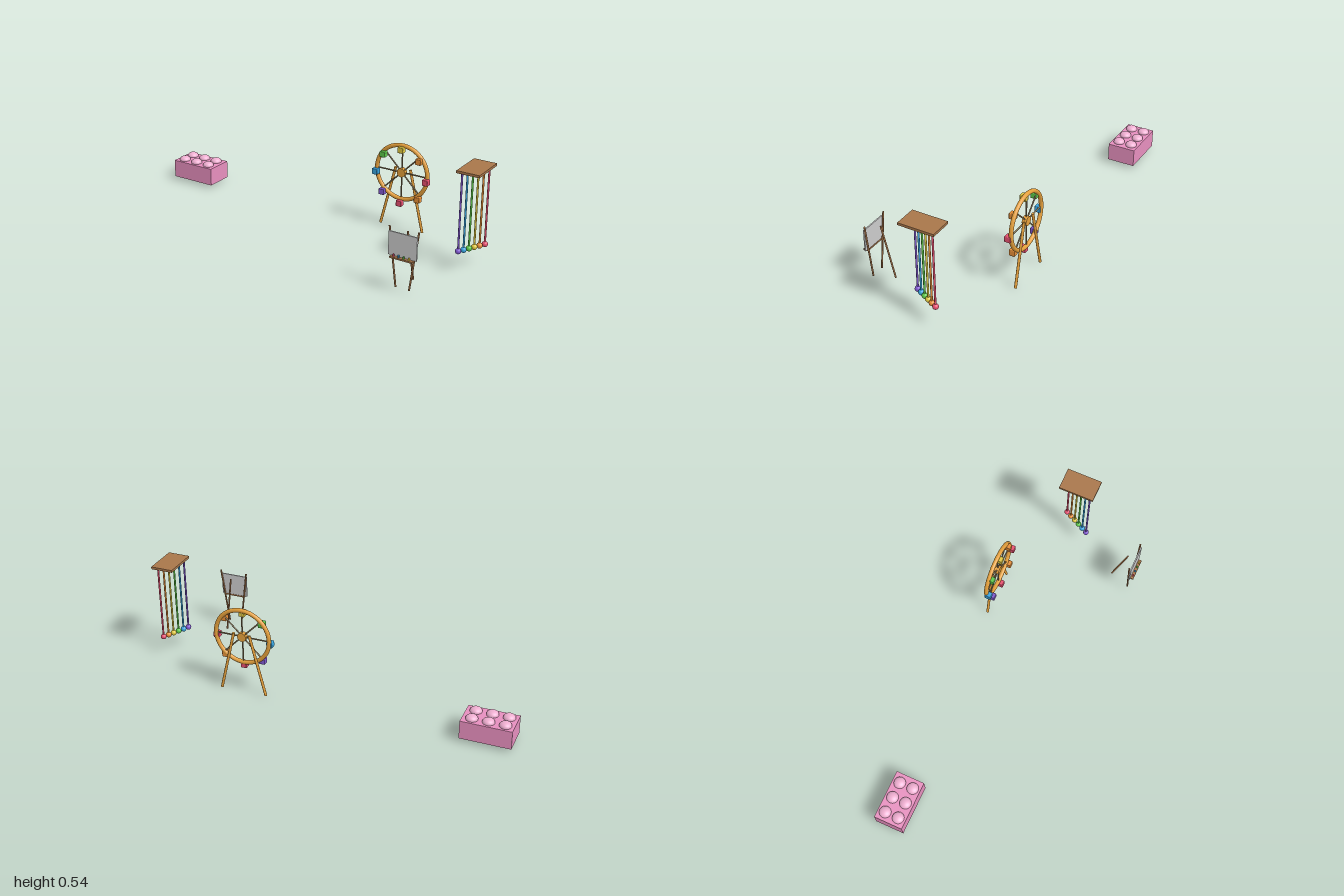
import * as THREE from 'three';
import { RoundedBoxGeometry } from 'three/addons/geometries/RoundedBoxGeometry.js';

const WOOD = 0xa8764a, GOLD = 0xe5a03c;
const PURPLE = 0x8058d0, BLUE = 0x38a4e0, GREEN = 0x5cc848;
const YELLOW = 0xe0c840, ORANGE = 0xe89038, RED = 0xe85070;

function part(parent, name, geometry, color, x = 0, y = 0, z = 0) {
  const mesh = new THREE.Mesh(geometry, new THREE.MeshStandardMaterial({ color }));
  mesh.name = name;
  mesh.position.set(x, y, z);
  parent.add(mesh);
  return mesh;
}

// Round bar between two points
function bar(parent, name, a, b, radius, color) {
  const from = new THREE.Vector3(...a), to = new THREE.Vector3(...b);
  const dir = to.clone().sub(from);
  const mesh = part(parent, name, new THREE.CylinderGeometry(radius, radius, dir.length(), 12), color);
  mesh.position.copy(from).add(to).multiplyScalar(0.5);
  mesh.quaternion.setFromUnitVectors(new THREE.Vector3(0, 1, 0), dir.normalize());
  return mesh;
}

function group(parent, name) {
  const g = new THREE.Group();
  g.name = name;
  parent.add(g);
  return g;
}

function buildBrick(root) {
  const g = group(root, 'toyBrick');
  part(g, 'brickBody', new THREE.BoxGeometry(0.26, 0.098, 0.154), 0xe68fbe, -0.87, 0.067, -0.2705);
  // Domed studs, two rows of three
  for (const x of [-0.955, -0.872, -0.789])
    for (const z of [-0.234, -0.307])
      part(g, 'stud', new THREE.SphereGeometry(0.031, 24, 16), 0xeeaed0, x, 0.119, z).scale.y = 0.66;
}

function buildWheel(root) {
  const g = group(root, 'ferrisWheel');
  const cx = 0.417, cy = 0.316, cz = -0.307, R = 0.147;
  part(g, 'rim', new THREE.TorusGeometry(R, 0.0112, 14, 64), GOLD, cx, cy, cz);
  part(g, 'hub', new THREE.CylinderGeometry(0.024, 0.024, 0.024, 24), GOLD, cx, cy, cz).rotation.x = Math.PI / 2;
  // Spokes with a cabin hung a little below each rim point
  const colors = [RED, ORANGE, YELLOW, GREEN, BLUE, PURPLE, RED, ORANGE];
  colors.forEach((color, i) => {
    const a = i * Math.PI / 4, x = cx + R * Math.cos(a), y = cy + R * Math.sin(a);
    bar(g, 'spoke', [cx, cy, cz], [x, y, cz], 0.0038, 0x8f7c58);
    part(g, 'cabin', new RoundedBoxGeometry(0.032, 0.032, 0.033, 2, 0.004), color, x, y - 0.019, -0.294);
  });
  // Splayed legs behind the wheel
  for (const s of [-1, 1])
    bar(g, 'wheelLeg', [cx + s * 0.124, 0.002, -0.318], [cx + s * 0.043, 0.334, -0.318], 0.0072, GOLD);
}

function buildChimes(root) {
  const g = group(root, 'hangingChimes');
  part(g, 'topBoard', new THREE.BoxGeometry(0.12, 0.013, 0.19), WOOD, 0.94, 0.5305, -0.073);
  // Rods in a diagonal row, each with a ball at the end
  [PURPLE, BLUE, GREEN, YELLOW, ORANGE, RED].forEach((color, i) => {
    const x = 0.901 + i * 0.0145, z = -0.001 - i * 0.0288;
    bar(g, 'rod', [x, 0.117, z], [x, 0.527, z], 0.005, color);
    part(g, 'ball', new THREE.SphereGeometry(0.0152, 24, 16), color, x, 0.117, z);
  });
}

function buildEasel(root) {
  const g = group(root, 'easel');
  const cx = 0.777;
  for (const s of [-1, 1])
    bar(g, 'easelFrontLeg', [cx + s * 0.036, 0.018, 0.3205], [cx + s * 0.077, 0.325, 0.3205], 0.0046, WOOD);
  bar(g, 'easelRearLeg', [cx, 0.022, 0.2135], [cx, 0.298, 0.284], 0.0046, WOOD);
  part(g, 'canvas', new THREE.BoxGeometry(0.15, 0.12, 0.007), 0xcccccc, cx, 0.243, 0.3285);
  part(g, 'tray', new THREE.BoxGeometry(0.12, 0.008, 0.026), WOOD, cx, 0.179, 0.336);
  // Paint pots on the tray
  [RED, BLUE, GREEN, YELLOW].forEach((color, i) =>
    part(g, 'paintPot', new THREE.CylinderGeometry(0.0045, 0.0045, 0.012, 12), color, cx - 0.041 + i * 0.027, 0.189, 0.341));
}

export function createModel() {
  const root = new THREE.Group();
  root.name = 'toySet';
  buildBrick(root);
  buildWheel(root);
  buildChimes(root);
  buildEasel(root);
  return root;
}
